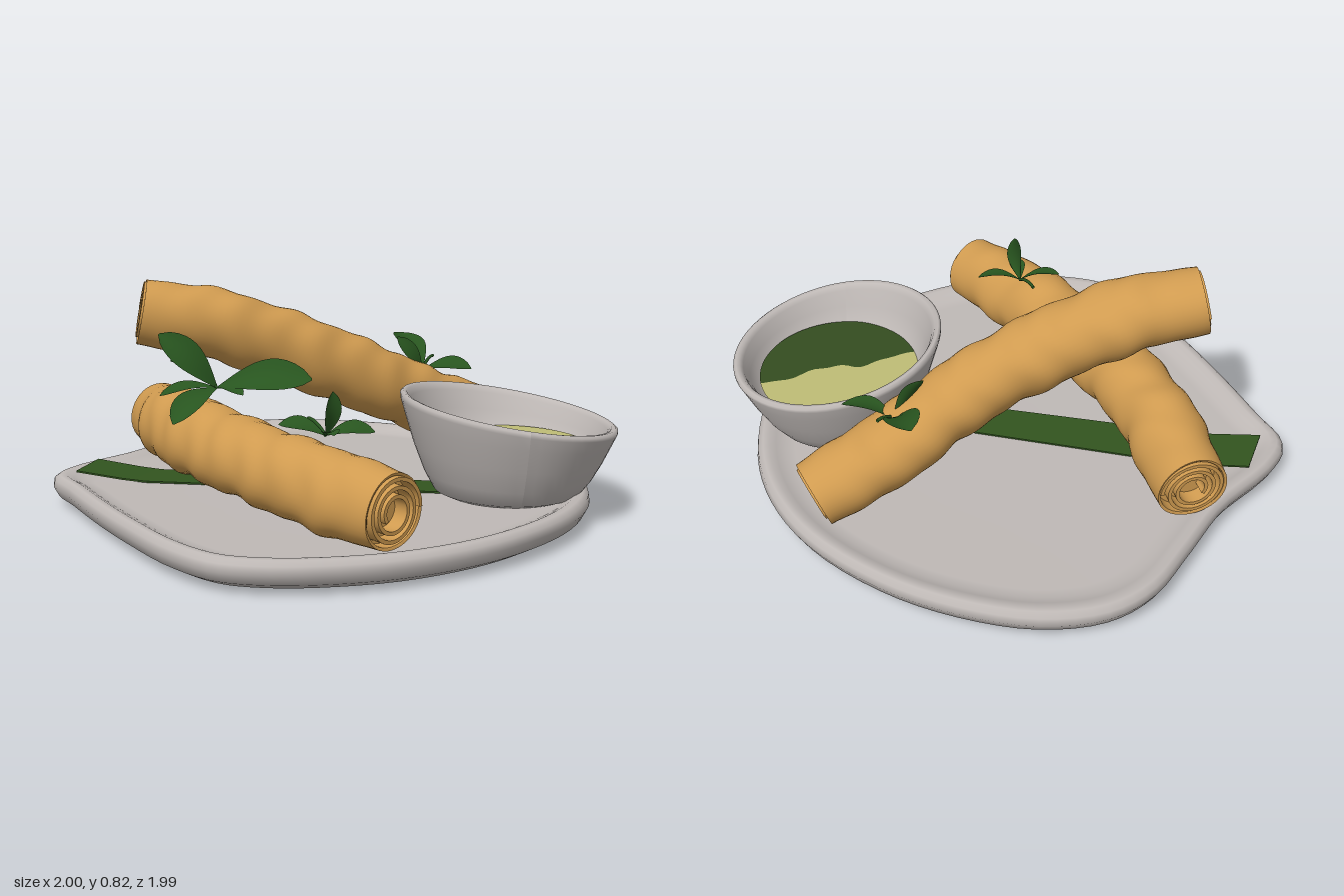
import * as THREE from 'three';
import { toCreasedNormals } from 'three/addons/utils/BufferGeometryUtils.js';

const V = (x, y, z) => new THREE.Vector3(x, y, z);
const material = (name, color, side = THREE.FrontSide) => {
  const m = new THREE.MeshStandardMaterial({ color, side });
  m.name = name;
  return m;
};

// Skin a list of closed rings, each running counter-clockwise around the loft direction
function loft(rings) {
  const n = rings[0].length, index = [];
  for (let j = 0; j < rings.length - 1; j++) {
    for (let i = 0; i < n; i++) {
      const a = j * n + i, b = j * n + (i + 1) % n;
      index.push(a, b, a + n, b, b + n, a + n);
    }
  }
  const g = new THREE.BufferGeometry().setFromPoints(rings.flat());
  g.setIndex(index);
  g.computeVertexNormals();
  return g;
}

// Orthonormal frame on a curve: side x up = tangent
function frameAt(curve, t) {
  const p = curve.getPointAt(t), T = curve.getTangentAt(t);
  const S = V(0, 1, 0).cross(T).normalize();
  return { p, T, S, U: T.clone().cross(S) };
}

export function createModel() {
  const model = new THREE.Group();
  const ceramic = material('grey ceramic', 0xbfb9b6);
  const pastry = material('golden pastry', 0xd09b50);
  const leafStripMat = material('leaf strip green', 0x32551f, THREE.DoubleSide);
  const herb = material('herb green', 0x28551f, THREE.DoubleSide);
  const cream = material('pale sauce', 0xbfbd76);
  const pesto = material('green sauce', 0x344d20);
  const add = (name, geo, mat, parent = model) => {
    const mesh = new THREE.Mesh(geo, mat);
    mesh.name = name;
    parent.add(mesh);
    return mesh;
  };

  // Plate: one irregular outline, scaled through a rim profile
  const outline = new THREE.CatmullRomCurve3([
    [-0.1, 0.99], [0.15, 0.95], [0.4, 0.84], [0.6, 0.69], [0.77, 0.5], [0.88, 0.28], [0.915, 0.05],
    [0.89, -0.22], [0.8, -0.45], [0.65, -0.65], [0.4, -0.84], [0.15, -0.95], [-0.1, -1], [-0.32, -0.97],
    [-0.47, -0.87], [-0.6, -0.68], [-0.74, -0.46], [-0.94, -0.25], [-1, -0.12], [-0.93, 0.05], [-0.82, 0.3],
    [-0.71, 0.52], [-0.56, 0.78], [-0.42, 0.93], [-0.28, 0.98],
  ].map(([x, z]) => V(x, 0, z)), true).getPoints(96).slice(0, -1);
  const rim = [[0, 0], [0.84, 0], [0.93, 0.01], [0.98, 0.035], [1, 0.07], [0.995, 0.098], [0.975, 0.112],
    [0.95, 0.112], [0.925, 0.1], [0.89, 0.087], [0.85, 0.083], [0, 0.083]];
  add('plate', loft(rim.map(([s, y]) => outline.map((p) => V(p.x * s, y, p.z * s)))), ceramic);

  // Leaf strip laid across the plate, climbing the rim at one end
  const strip = new THREE.BoxGeometry(1, 0.006, 1, 16, 1, 1);
  const sp = strip.attributes.position;
  for (let i = 0; i < sp.count; i++) {
    const t = sp.getX(i) + 0.5, w = sp.getZ(i) + 0.5;
    const x = THREE.MathUtils.lerp(-0.85 - 0.065 * w, 0.42, t);
    const z = THREE.MathUtils.lerp(-0.285 + 0.175 * w, 0.02 + 0.15 * w, t);
    sp.setXYZ(i, x, 0.09 + sp.getY(i) + 0.03 * Math.max(0, 1 - t * 6), z);
  }
  strip.computeVertexNormals();
  add('leafStrip', strip, leafStripMat);

  // Sauce bowl with a slanting rim
  const bowl = new THREE.Group();
  bowl.name = 'sauceBowl';
  bowl.position.set(0.62, 0.083, 0.12);
  model.add(bowl);
  const bowlGeo = new THREE.LatheGeometry([
    [0, 0], [0.23, 0], [0.265, 0.015], [0.3, 0.07], [0.337, 0.15], [0.367, 0.23], [0.385, 0.28], [0.386, 0.294],
    [0.376, 0.302], [0.362, 0.299], [0.35, 0.28], [0.328, 0.22], [0.3, 0.15], [0.25, 0.1], [0, 0.09],
  ].map(([r, y]) => new THREE.Vector2(r, y)), 64);
  const bp = bowlGeo.attributes.position;
  for (let i = 0; i < bp.count; i++) {
    const x = bp.getX(i), y = bp.getY(i);
    bp.setXYZ(i, x * 0.985, y * (1 - 0.53 * x), bp.getZ(i) * 1.03);
  }
  bowlGeo.computeVertexNormals();
  add('bowl', bowlGeo, ceramic, bowl);

  // Two sauces meeting along a wavy line
  const R = 0.312, a0 = 2.76, a1 = -0.27;
  const sauce = (name, from, to, mat) => {
    const pts = [];
    const at = (a) => [R * 0.97 * Math.cos(a), R * Math.sin(a)];
    for (let i = 0; i <= 32; i++) pts.push(at(from + (to - from) * i / 32));
    const A = at(to), B = at(from);
    for (let i = 1; i < 24; i++) {
      const t = i / 24, u = from === a0 ? 1 - t : t;
      const wave = Math.sin(u * Math.PI) * (0.022 * Math.sin(u * 11 + 1) + 0.008 * Math.sin(u * 29));
      pts.push([A[0] + (B[0] - A[0]) * t, A[1] + (B[1] - A[1]) * t + wave]);
    }
    const g = new THREE.ShapeGeometry(new THREE.Shape(pts.map(([x, z]) => new THREE.Vector2(x, -z))));
    g.rotateX(-Math.PI / 2);
    add(name, g, mat, bowl).position.set(-0.012, 0.168, 0);
  };
  sauce('greenSauce', a0, a1, pesto);
  sauce('paleSauce', a1, a0 - Math.PI * 2, cream);

  // Rolled wrapper seen at each end of a roll
  const spiralShape = (r) => {
    const outer = [], inner = [], turns = 2.6, n = 80;
    for (let i = 0; i <= n; i++) {
      const a = i / n * turns * Math.PI * 2, q = r * (1 - 0.6 * i / n);
      outer.push(new THREE.Vector2(Math.cos(a) * q, Math.sin(a) * q));
      inner.push(new THREE.Vector2(Math.cos(a) * (q - 0.013), Math.sin(a) * (q - 0.013)));
    }
    return new THREE.Shape(outer.concat(inner.reverse()));
  };

  // Crisp rolls: wrinkled tubes with recessed ends
  const roll = (name, path, radius, seed) => {
    const group = new THREE.Group();
    group.name = name;
    model.add(group);
    const curve = new THREE.CatmullRomCurve3(path.map((p) => V(...p)));
    const N = 72, M = 40;
    const ring = (t, scale, shift) => {
      const { p, T, S, U } = frameAt(curve, t);
      const fade = Math.min(1, Math.min(t, 1 - t) * 7);
      return Array.from({ length: M }, (_, i) => {
        const a = i / M * Math.PI * 2;
        const lumps = 0.035 * Math.sin(t * 34 + 1.6 * Math.sin(a + seed) + seed)
          + 0.025 * Math.sin(t * 61 + 2 * Math.cos(a * 2 + seed)) + 0.025 * Math.sin(2 * a + t * 9 + seed);
        const r = radius * scale * (0.93 + fade * (0.1 + lumps) + 0.02 * Math.sin(3 * a + seed));
        return p.clone().addScaledVector(T, shift).addScaledVector(S, r * Math.cos(a)).addScaledVector(U, r * Math.sin(a));
      });
    };
    const cap = [[0, 0.045], [0.9, 0.045], [0.92, 0.004], [0.97, 0]];
    const rings = cap.map(([s, d]) => ring(0, s, d));
    for (let j = 0; j <= N; j++) rings.push(ring(j / N, 1, 0));
    cap.reverse().forEach(([s, d]) => rings.push(ring(1, s, -d)));
    add('wrapper', toCreasedNormals(loft(rings), 0.8), pastry, group);
    for (const t of [0, 1]) {
      const { p, T, S, U } = frameAt(curve, t);
      const g = new THREE.ExtrudeGeometry(spiralShape(radius * 0.9), { depth: 0.055, bevelEnabled: false });
      g.translate(0, 0, t ? -0.048 : -0.007);
      g.applyMatrix4(new THREE.Matrix4().makeBasis(S, U, T).setPosition(p));
      add('rolledEnd', toCreasedNormals(g, 0.6), pastry, group);
    }
  };
  roll('upperRoll', [[-0.665, 0.705, -0.105], [-0.4, 0.655, -0.125], [0, 0.5, -0.205], [0.2, 0.405, -0.29],
    [0.4, 0.305, -0.405], [0.65, 0.205, -0.525]], 0.125, 0.7);
  roll('lowerRoll', [[-0.62, 0.235, -0.53], [-0.5, 0.26, -0.1], [-0.29, 0.255, 0.3], [-0.1, 0.24, 0.58],
    [0.135, 0.222, 0.86]], 0.132, 2.9);

  // Herb sprigs: cupped leaves on thin stems
  const leafGeometry = (base, tip, width, face) => {
    const dir = tip.clone().sub(base), len = dir.length();
    const side = dir.clone().cross(face).normalize(), up = side.clone().cross(dir).normalize();
    const g = new THREE.PlaneGeometry(2, 1, 6, 12), p = g.attributes.position;
    for (let i = 0; i < p.count; i++) {
      const u = p.getX(i), t = p.getY(i) + 0.5;
      const w = width / 2 * (0.06 + 0.94 * Math.pow(Math.sin(Math.PI * Math.pow(t, 1.45)), 0.7) * (t < 1 ? 1 : 0));
      const lift = len * 0.1 * Math.sin(Math.PI * t) + u * u * w * 0.25;
      const q = base.clone().addScaledVector(dir, t).addScaledVector(side, u * w).addScaledVector(up, lift);
      p.setXYZ(i, q.x, q.y, q.z);
    }
    g.computeVertexNormals();
    return g;
  };
  const sprig = (name, base, stemEnd, leaves) => {
    const group = new THREE.Group();
    group.name = name;
    model.add(group);
    const b = V(...base), e = V(...stemEnd);
    const mid = b.clone().lerp(e, 0.5).add(V(0, 0.025, 0));
    add('stem', new THREE.TubeGeometry(new THREE.QuadraticBezierCurve3(b, mid, e), 10, 0.006, 6), herb, group);
    for (const [tip, width, face = [0, 1, 0.3]] of leaves) {
      add('leaf', leafGeometry(b, V(...tip), width, V(...face)), herb, group);
    }
  };
  sprig('middleSprig', [-0.4, 0.45, 0.03], [-0.56, 0.55, 0.02], [
    [[-0.6, 0.645, 0.04], 0.11, [0.4, 0.4, 1]],
    [[-0.07, 0.49, 0.11], 0.14, [0, 0.8, 0.7]],
    [[-0.55, 0.36, 0.21], 0.11],
    [[-0.6, 0.43, 0.06], 0.07],
    [[-0.31, 0.44, 0.12], 0.06],
  ]);
  sprig('rearSprig', [0.38, 0.425, -0.39], [0.43, 0.47, -0.46], [
    [[0.31, 0.54, -0.6], 0.12, [0.3, 1, 0.5]],
    [[0.56, 0.44, -0.33], 0.11],
    [[0.28, 0.56, -0.36], 0.06, [0.2, 0.6, 1]],
  ]);
  sprig('frontSprig', [-0.05, 0.385, 0.52], [-0.1, 0.42, 0.41], [
    [[-0.2, 0.42, 0.5], 0.09],
    [[0.11, 0.395, 0.52], 0.09],
    [[-0.03, 0.41, 0.63], 0.06],
    [[-0.03, 0.54, 0.57], 0.06, [0.5, 0.3, 1]],
  ]);
  return model;
}
